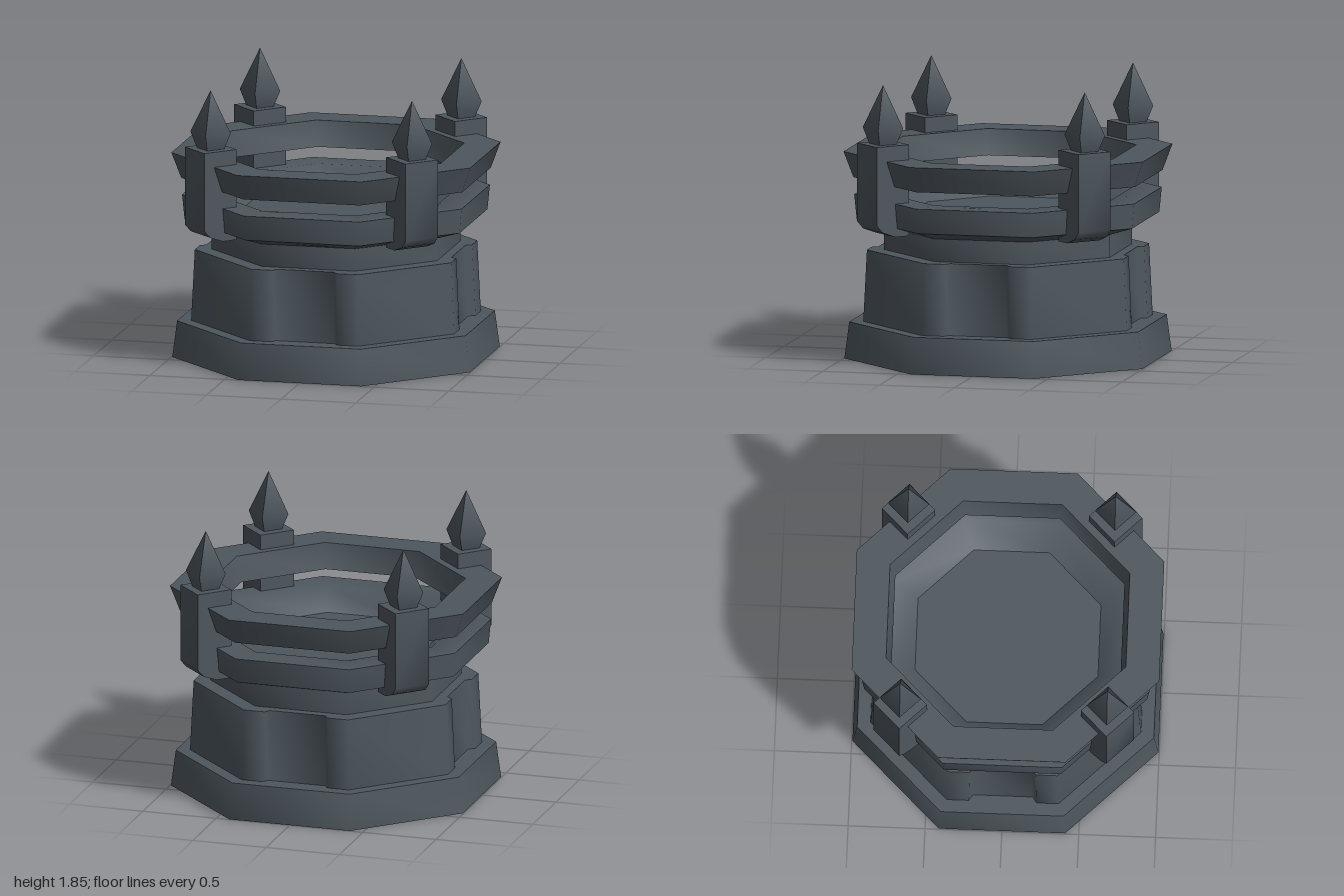
import * as THREE from 'three';
import { toCreasedNormals } from 'three/addons/utils/BufferGeometryUtils.js';

const stone = new THREE.MeshStandardMaterial({ color: 0x4e575e });
stone.name = 'dark slate';

// Normals stay soft around the eight corners and sharp on the rims
function mesh(name, geometry, crease = 0.9) {
  const m = new THREE.Mesh(toCreasedNormals(geometry, crease), stone);
  m.name = name;
  return m;
}

// Eight-sided ring or drum; the profile lists [distance to flat side, height]
function octagon(name, profile) {
  const k = 1 / Math.cos(Math.PI / 8);
  const points = profile.map(([a, y]) => new THREE.Vector2(a * k, y));
  return mesh(name, new THREE.LatheGeometry(points, 8, Math.PI / 8));
}

// Pedestal body: tapered octagon with a shallow panel sunk into each main side
function pedestalBody() {
  const side = [[0.364, 0.88], [0.22, 0.88], [0.195, 0.84], [-0.195, 0.84], [-0.22, 0.88], [-0.364, 0.88]];
  const outline = [];
  for (let i = 0; i < 4; i++) {
    for (const [x, y] of side) {
      outline.push(new THREE.Vector2(x, y).rotateAround(new THREE.Vector2(), i * Math.PI / 2));
    }
  }
  const height = 0.47;
  const g = new THREE.ExtrudeGeometry(new THREE.Shape(outline), { depth: height, bevelEnabled: false });
  g.rotateX(-Math.PI / 2);
  const p = g.attributes.position;
  for (let i = 0; i < p.count; i++) {
    const s = 1 - 0.025 * p.getY(i) / height; // slight taper
    p.setXYZ(i, p.getX(i) * s, p.getY(i) + 0.24, p.getZ(i) * s);
  }
  return mesh('pedestalBody', g, 1.35);
}

// Corner post: side profile with a rounded lower outer edge, extruded to its width
function post() {
  const w = 0.245;
  const s = new THREE.Shape();
  s.moveTo(0.83, 0.86);
  s.lineTo(0.935, 0.86);
  s.lineTo(1.03, 0.895);
  s.lineTo(1.075, 0.945);
  s.lineTo(1.075, 1.46);
  s.lineTo(0.83, 1.46);
  s.closePath();
  const g = new THREE.ExtrudeGeometry(s, { depth: w, bevelEnabled: false });
  g.translate(0, 0, -w / 2);
  return mesh('post', g);
}

// Four-sided spike on each post
function finial() {
  const g = new THREE.LatheGeometry(
    [[0, 1.455], [0.09, 1.455], [0.135, 1.565], [0, 1.845]].map(([r, y]) => new THREE.Vector2(r, y)),
    4, Math.PI / 4);
  const m = mesh('finial', g);
  m.position.x = 0.953;
  return m;
}

export function createModel() {
  const model = new THREE.Group();
  model.name = 'octagonalBrazier';

  model.add(
    octagon('plinth', [[0, 0], [0.995, 0], [0.965, 0.24], [0, 0.24]]),
    pedestalBody(),
    octagon('neck', [[0.755, 0.70], [0.755, 0.88]]),
    // Bowl with a thick flat rim and sloping inside
    octagon('bowl', [[0, 0.86], [0.76, 0.86], [0.92, 0.915], [0.935, 1.078], [0.75, 1.078], [0.595, 0.947]]),
    octagon('bowlFloor', [[0.595, 0.947], [0, 0.947]]),
    // Flared upper rail
    octagon('upperRail', [[0.745, 1.19], [0.94, 1.19], [1.0, 1.36], [0.78, 1.36], [0.745, 1.19]])
  );

  for (let i = 0; i < 4; i++) {
    const corner = new THREE.Group();
    corner.name = 'cornerPost' + (i + 1);
    corner.add(post(), finial());
    corner.rotation.y = Math.PI / 4 + i * Math.PI / 2;
    model.add(corner);
  }
  return model;
}
